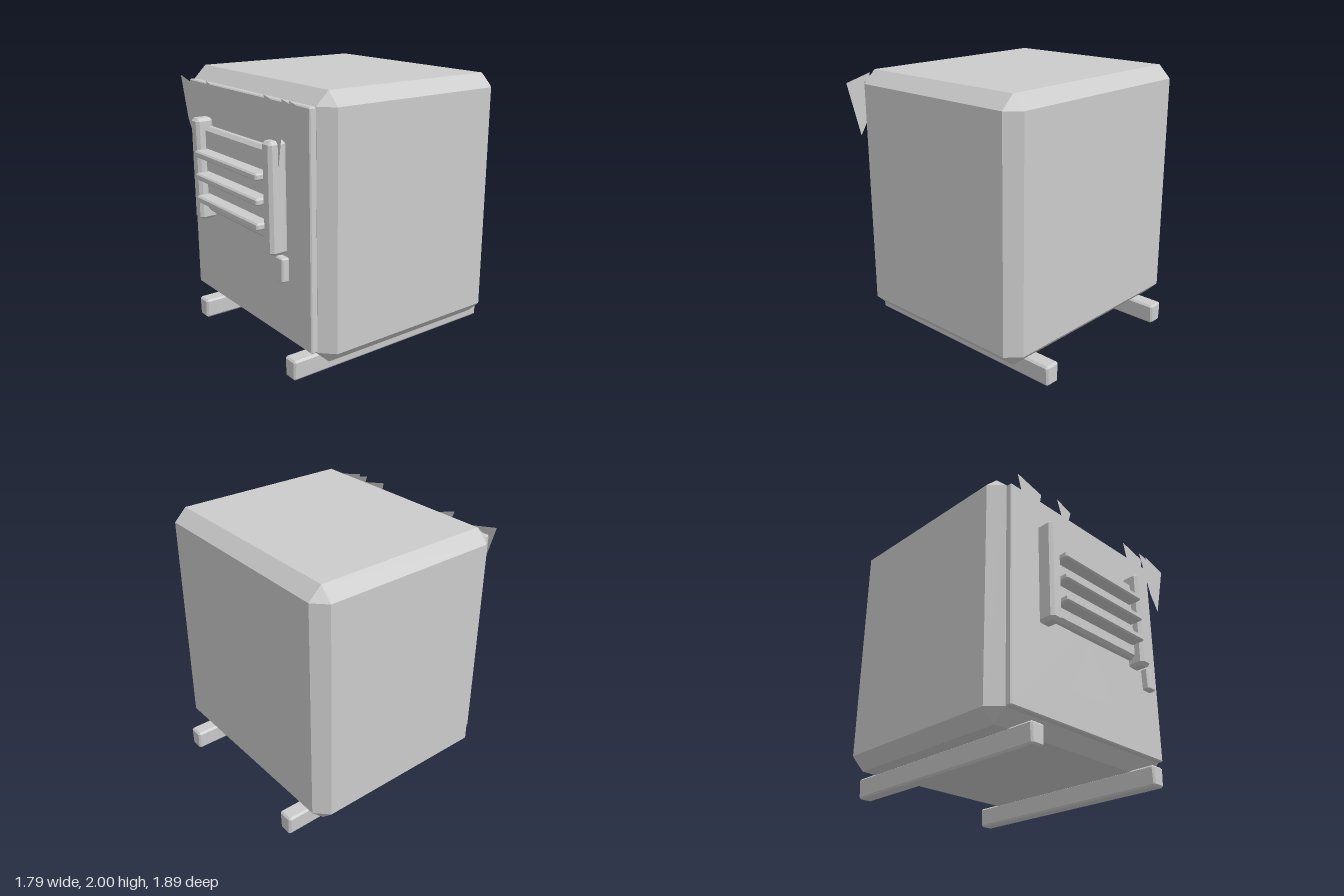
import * as THREE from 'three';
import { ConvexGeometry } from 'three/addons/geometries/ConvexGeometry.js';

const metal = new THREE.MeshStandardMaterial({ color: 0xcccccc, flatShading: true });
const sheet = new THREE.MeshStandardMaterial({ color: 0xcccccc, flatShading: true, side: THREE.DoubleSide });

// Box between two corners with chamfered edges; taper narrows the bottom in x
function chamferBox(name, [x0, y0, z0], [x1, y1, z1], c, taper = 1) {
  const centre = new THREE.Vector3((x0 + x1) / 2, (y0 + y1) / 2, (z0 + z1) / 2);
  const half = new THREE.Vector3((x1 - x0) / 2, (y1 - y0) / 2, (z1 - z0) / 2);
  const points = [];
  for (const sx of [-1, 1]) for (const sy of [-1, 1]) for (const sz of [-1, 1]) {
    for (const axis of ['x', 'y', 'z']) {
      const p = half.clone().subScalar(c);
      p[axis] += c;
      p.multiply(new THREE.Vector3(sx, sy, sz));
      if (sy < 0) p.x *= taper;
      points.push(p);
    }
  }
  const mesh = new THREE.Mesh(new ConvexGeometry(points), metal);
  mesh.position.copy(centre);
  mesh.name = name;
  return mesh;
}

// Flat cut-out facing the front
function plate(name, outline, z) {
  const shape = new THREE.Shape(outline.map(([x, y]) => new THREE.Vector2(x, y)));
  const mesh = new THREE.Mesh(new THREE.ShapeGeometry(shape), sheet);
  mesh.position.z = z;
  mesh.name = name;
  return mesh;
}

export function createModel() {
  const model = new THREE.Group();
  model.name = 'cabinet';

  // Cabinet and front door
  model.add(chamferBox('body', [-0.9, 0.145, -0.83], [0.885, 2, 0.725], 0.095));
  model.add(chamferBox('door', [-0.8, 0.24, 0.7], [0.788, 1.905, 0.772], 0.008));

  // Skids under the cabinet
  for (const x of [-0.63, 0.618]) {
    model.add(chamferBox('skid', [x - 0.061, 0.005, -0.945], [x + 0.061, 0.157, 0.838], 0.014, 0.88));
  }

  // Vent: back panel, side posts and slats
  const vent = new THREE.Group();
  vent.name = 'vent';
  vent.add(chamferBox('ventPanel', [-0.5, 0.943, 0.76], [0.49, 1.596, 0.842], 0.026));
  for (const x of [-0.498, 0.482]) {
    vent.add(chamferBox('ventPost', [x - 0.053, 0.885, 0.772], [x + 0.053, 1.66, 0.908], 0.022));
  }
  for (const y of [1.068, 1.24, 1.411]) {
    vent.add(chamferBox('ventSlat', [-0.435, y - 0.025, 0.82], [0.418, y + 0.025, 0.945], 0.011));
  }
  model.add(vent);

  // Door handle
  const handle = chamferBox('handle', [0.522, 0.718, 0.818], [0.61, 0.89, 0.878], 0.01);
  handle.rotation.x = -0.03;
  model.add(handle);

  // Warning triangle on the door
  model.add(plate('triangleSign', [[-0.25, 0.51], [0.238, 0.51], [-0.005, 0.93]], 0.775));

  // Jagged shards hanging along the top edge
  const shards = [
    [[-0.805, 1.94], [-0.715, 1.62], [-0.645, 1.51], [-0.567, 1.885]],
    [[-0.4, 1.94], [-0.35, 1.8], [-0.3, 1.745], [-0.253, 1.89]],
    [[0.38, 1.94], [0.46, 1.63], [0.54, 1.49], [0.612, 1.87], [0.6, 1.89]],
    [[0.587, 1.94], [0.612, 1.865], [0.705, 1.6], [0.785, 1.475], [0.89, 1.885], [0.675, 1.94], [0.682, 1.918]],
  ];
  shards.forEach((outline, i) => model.add(plate('shard', outline, 0.84 + i * 0.002)));

  return model;
}
